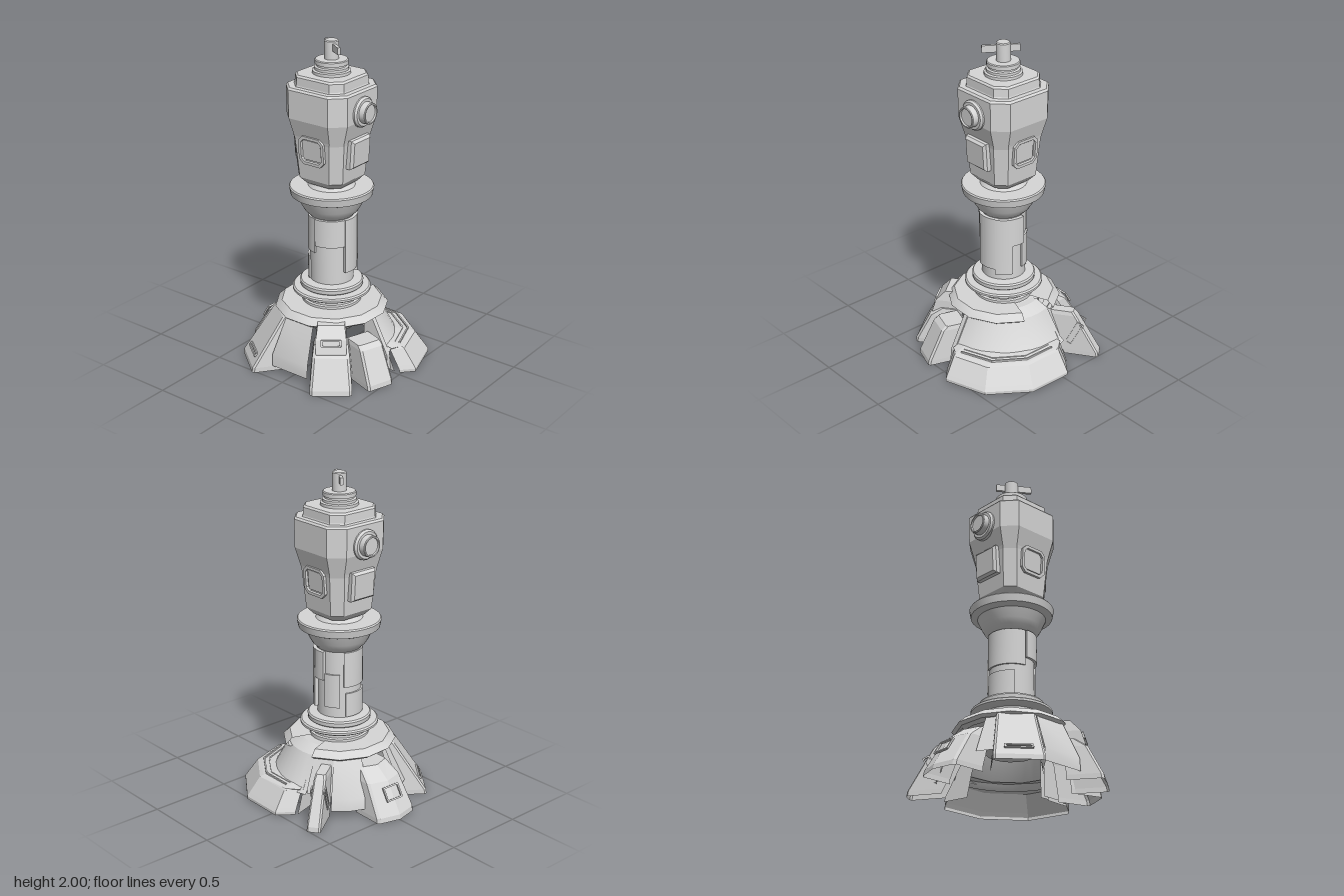
import * as THREE from 'three';
import { toCreasedNormals } from 'three/addons/utils/BufferGeometryUtils.js';

const rad = THREE.MathUtils.degToRad;

export function createModel() {
  const model = new THREE.Group();
  const grey = new THREE.MeshStandardMaterial({ color: 0xd6d6d6, side: THREE.DoubleSide });
  grey.name = 'plain grey';

  const add = (name, geo, parent = model) => {
    const mesh = new THREE.Mesh(geo, grey);
    mesh.name = name;
    parent.add(mesh);
    return mesh;
  };

  // group turned so that its local +z points outwards at the given angle
  const spoke = (name, deg) => {
    const g = new THREE.Group();
    g.name = name;
    g.rotation.y = rad(deg);
    model.add(g);
    return g;
  };

  // flat faced skin through rows of [x, y, z] points, listed bottom to top
  const loft = (rows, closed = false) => {
    const pos = [];
    for (let i = 0; i < rows.length - 1; i++) {
      const n = rows[i].length;
      for (let j = 0; j < (closed ? n : n - 1); j++) {
        const k = (j + 1) % n;
        const [a, b, c, d] = [rows[i][j], rows[i][k], rows[i + 1][k], rows[i + 1][j]];
        pos.push(...a, ...b, ...c, ...a, ...c, ...d);
      }
    }
    const geo = new THREE.BufferGeometry();
    geo.setAttribute('position', new THREE.Float32BufferAttribute(pos, 3));
    geo.computeVertexNormals();
    return geo;
  };

  const lathe = (pts, segs = 40, start = 0, sweep = 360) => toCreasedNormals(new THREE.LatheGeometry(
    pts.map(([r, y]) => new THREE.Vector2(r, y)), segs, rad(start), rad(sweep)), 0.5);

  // square column with cut corners; rows of [y, half width, corner cut]
  const cutSquare = rows => loft(rows.map(([y, h, c]) => {
    const m = h - c;
    return [[-m, y, h], [m, y, h], [h, y, m], [h, y, -m], [m, y, -h], [-m, y, -h], [-h, y, -m], [-h, y, m]];
  }), true);

  // rectangular rim with cut corners, lying in the xy plane
  const frame = (w, h, t, depth, cut = 0.004) => {
    const outline = (a, b, c) => [[-a + c, -b], [a - c, -b], [a, -b + c], [a, b - c], [a - c, b], [-a + c, b],
      [-a, b - c], [-a, -b + c]].map(p => new THREE.Vector2(...p));
    const shape = new THREE.Shape(outline(w / 2, h / 2, cut));
    shape.holes.push(new THREE.Path(outline(w / 2 - t, h / 2 - t, cut * 0.7)));
    return new THREE.ExtrudeGeometry(shape, { depth, bevelEnabled: false });
  };

  // plate bent around the column
  const bentPlate = (name, a0, a1, y0, y1, r, t) => {
    const geo = new THREE.BoxGeometry(1, y1 - y0, t, 12, 1, 1).toNonIndexed();
    const p = geo.attributes.position;
    for (let i = 0; i < p.count; i++) {
      const a = rad(a0 + (p.getX(i) + 0.5) * (a1 - a0)), d = r + p.getZ(i);
      p.setXYZ(i, Math.sin(a) * d, p.getY(i) + (y0 + y1) / 2, Math.cos(a) * d);
    }
    add(name, toCreasedNormals(geo, 0.5));
  };

  // --- top finial with its cross bar, longer on one side
  add('finial', lathe([[0.042, 1.87], [0.042, 1.995], [0.036, 2], [0, 2]], 24));
  const bar = add('finialBar', new THREE.BoxGeometry(0.018, 0.042, 0.22));
  bar.position.set(-0.007, 1.963, 0.012);
  bar.rotation.y = rad(-33);
  add('finialCollar', lathe([[0.112, 1.8], [0.112, 1.825], [0.1, 1.83], [0.1, 1.845],
    [0.088, 1.85], [0.088, 1.86], [0.097, 1.862], [0.097, 1.885], [0.092, 1.89], [0, 1.89]], 24));

  // --- head
  add('head', cutSquare([[1.15, 0, 0], [1.15, 0.13, 0.05], [1.19, 0.163, 0.055], [1.43, 0.184, 0.06],
    [1.45, 0.188, 0.06], [1.56, 0.22, 0.08], [1.73, 0.222, 0.08], [1.742, 0.212, 0.075], [1.742, 0, 0]]));
  add('headCap', cutSquare([[1.735, 0.182, 0.06], [1.75, 0.177, 0.06], [1.797, 0.175, 0.06],
    [1.808, 0.165, 0.055], [1.808, 0, 0]]));

  for (const deg of [0, 180]) {
    const side = spoke('headFace', deg);
    const port = add('porthole', lathe([[0.09, 0], [0.09, 0.02], [0.08, 0.032], [0.064, 0.032], [0.063, 0.068],
      [0.059, 0.072], [0.052, 0.072], [0.05, 0.062], [0, 0.062]], 28), side);
    port.rotation.x = Math.PI / 2;
    port.position.set(0, 1.615, 0.21);
    const panel = add('squarePanel', loft([[0.088, 0], [0.088, 0.03], [0.074, 0.045], [0, 0.045]].map(([h, z]) =>
      [[-h, -h, z], [h, -h, z], [h, h, z], [-h, h, z]]), true), side);
    panel.position.set(0, 1.37, 0.174);
    panel.rotation.x = 0.06;
  }
  for (const deg of [90, -90]) {
    const side = spoke('headSide', deg);
    const rim = add('hatchRim', frame(0.18, 0.175, 0.018, 0.028, 0.03), side);
    rim.position.set(0, 1.38, 0.168);
    const hatch = add('hatch', new THREE.BoxGeometry(0.125, 0.12, 0.02), side);
    hatch.position.set(0, 1.38, 0.175);
    rim.rotation.x = hatch.rotation.x = 0.08;
  }

  // --- neck and collar
  add('neckCollar', lathe([[0.13, 0.94], [0.14, 0.95], [0.16, 0.97], [0.178, 1.0], [0.203, 1.055], [0.225, 1.062],
    [0.243, 1.07], [0.252, 1.115], [0.246, 1.123], [0.22, 1.123], [0.14, 1.123], [0.115, 1.155]], 40));

  // --- column with stepped sleeve plates
  add('column', lathe([[0.132, 0.36], [0.132, 0.96]]));
  bentPlate('sleeveUpper', -95, -20, 0.77, 0.94, 0.137, 0.022);
  bentPlate('sleeveFront', -20, 30, 0.6, 0.94, 0.141, 0.022);
  bentPlate('sleeveRight', 30, 70, 0.57, 0.94, 0.146, 0.022);
  bentPlate('sleeveStep', 70, 100, 0.76, 0.94, 0.144, 0.022);
  bentPlate('sleeveStrip', 100, 140, 0.59, 0.8, 0.134, 0.018);
  bentPlate('sleeveBack', 150, 262, 0.72, 0.94, 0.132, 0.02);
  bentPlate('sleeveBackLow', 155, 235, 0.53, 0.68, 0.132, 0.02);

  // --- stacked rings under the column
  add('baseRings', lathe([[0.18, 0.36], [0.18, 0.4], [0.168, 0.405], [0.168, 0.42], [0.18, 0.425], [0.18, 0.44],
    [0.225, 0.447], [0.237, 0.455], [0.237, 0.468], [0.228, 0.476], [0.18, 0.478], [0.19, 0.486],
    [0.192, 0.51], [0.185, 0.52], [0.13, 0.525]]));

  // --- roof plate of the base, open on one side, over the hidden core
  add('baseRoof', lathe([[0.26, 0.33], [0.325, 0.33], [0.345, 0.345], [0.305, 0.383], [0.16, 0.385]], 11, 110, 320));
  add('baseCore', lathe([[0, 0.22], [0.15, 0.22], [0.21, 0.29], [0.23, 0.365], [0.16, 0.383]], 20));
  add('baseUnderside', lathe([[0.2, 0.32], [0.29, 0.32]], 20));

  // --- wide sloping wing: smooth cone and faceted skirt
  add('wingCone', lathe([[0.42, 0.13], [0.395, 0.155], [0.3, 0.335], [0.23, 0.375], [0.16, 0.375]], 12, 2, 108));
  const skirtPlan = [[4, 0.85], [11, 0.985], [38, 1.04], [66, 1.02], [94, 0.945], [104, 0.8]];
  const ringRow = (plan, r, y, even = 1) => plan.map(([a, s]) => {
    const q = r * (1 - (1 - s) * even);
    return [Math.sin(rad(a)) * q, y, Math.cos(rad(a)) * q];
  });
  add('wingSkirt', loft([[0.575, 0.004], [0.575, 0.022], [0.56, 0.045], [0.495, 0.142], [0.475, 0.152],
    [0.37, 0.17]].map(([r, y], i) => ringRow(skirtPlan, r, y, i < 4 ? 1 : 0.6))));
  // groove rim that follows the skirt
  const groovePlan = [[14, 0.985], [40, 1.04], [66, 1.02], [91, 0.945]];
  for (const [name, r] of [['grooveOuterRim', 0.457], ['grooveInnerRim', 0.425]]) {
    add(name, loft([[r, 0.15], [r, 0.165], [r - 0.009, 0.165], [r - 0.009, 0.15]].map(p => ringRow(groovePlan, ...p))));
  }
  for (const deg of [3, 106]) {
    add('wingEndWall', loft([[[0, 0.01, 0.3], [0, 0.01, 0.46]], [[0, 0.15, 0.27], [0, 0.15, 0.4]],
      [[0, 0.34, 0.2], [0, 0.34, 0.29]]]), spoke('wingEnd', deg));
  }

  // --- hollow legs; rows of [y, inner radius, outer radius, half width], open below and inside
  const leg = (name, deg, rows, cut, slot, peak = 0) => {
    const g = spoke(name, deg);
    const pts = rows.map(([y, a, b, w]) => [[-w, y, a], [-w, y, b - cut], [-w + cut, y, b], [0, y, b + peak],
      [w - cut, y, b], [w, y, b - cut], [w, y, a]]);
    const [y, a, , w] = rows.at(-1);
    pts.push([-w, -w, -w + cut, 0, w - cut, w, w].map(x => [x, y, a]));
    add(name + 'Shell', loft(pts), g);
    if (slot) {
      // slot rim resting on the slope between two rows
      const [lo, hi] = [rows[slot.row], rows[slot.row + 1]];
      const rim = add(name + 'Slot', frame(slot.w, slot.h, 0.01, 0.01), g);
      rim.position.set(0, lo[0] + (hi[0] - lo[0]) * slot.t, lo[2] + (hi[2] - lo[2]) * slot.t + peak);
      rim.rotation.x = -Math.atan2(lo[2] - hi[2], hi[0] - lo[0]);
    }
    return g;
  };

  leg('backLeg', 178.5, [[0, 0.33, 0.53, 0.142], [0.03, 0.33, 0.525, 0.142], [0.21, 0.27, 0.415, 0.125],
    [0.28, 0.22, 0.32, 0.1]], 0.015, { row: 1, w: 0.12, h: 0.09, t: 0.65 }, 0.032);
  leg('backRightLeg', -128, [[0, 0.33, 0.53, 0.14], [0.03, 0.33, 0.525, 0.14], [0.33, 0.24, 0.33, 0.11],
    [0.36, 0.2, 0.3, 0.105]], 0.012, { row: 1, w: 0.16, h: 0.03, t: 0.18 });
  leg('frontLeg', -19, [[0, 0.33, 0.53, 0.088], [0.03, 0.33, 0.525, 0.088], [0.22, 0.3, 0.435, 0.08],
    [0.245, 0.28, 0.405, 0.075]], 0.012);
  const sideLeg = leg('frontRightLeg', -53, [[0, 0.33, 0.54, 0.125], [0.03, 0.33, 0.535, 0.125],
    [0.2, 0.3, 0.45, 0.11], [0.25, 0.28, 0.38, 0.1]], 0.015);

  // raised housing on the front right leg
  add('legHousing', loft([[0.18, 0.43, 0.07], [0.22, 0.435, 0.09], [0.3, 0.41, 0.09], [0.365, 0.35, 0.08],
    [0.37, 0.25, 0.08]].map(([y, z, w]) => [[-w, y, 0.24], [-w, y, z], [w, y, z], [w, y, 0.24]])), sideLeg);
  const housingSlot = add('housingSlot', frame(0.12, 0.045, 0.01, 0.012), sideLeg);
  housingSlot.position.set(0, 0.28, 0.414);
  housingSlot.rotation.x = -0.3;

  // narrow radial fin with a slot on each cheek
  const fin = leg('fin', 124, [[0, 0.4, 0.61, 0.042], [0.03, 0.385, 0.605, 0.042], [0.27, 0.27, 0.465, 0.036],
    [0.295, 0.26, 0.445, 0.03]], 0.01);
  for (const s of [-1, 1]) {
    const cheek = add('finSlot', frame(0.045, 0.17, 0.009, 0.008), fin);
    cheek.position.set(s * 0.037, 0.15, 0.46);
    cheek.rotation.set(0, s * Math.PI / 2, s * 0.45, 'YXZ');
  }

  // --- lower cone panels between the legs, and the slim front post
  add('sidePanel', lathe([[0.435, 0.04], [0.43, 0.12], [0.33, 0.335]], 1, -108, 36));
  add('backCone', lathe([[0.43, 0.05], [0.42, 0.12], [0.3, 0.335]], 2, 132, 32));
  add('backRightCone', lathe([[0.42, 0.1], [0.31, 0.335]], 1, 200, 20));
  add('lowerCone', lathe([[0.38, 0.12], [0.3, 0.335]], 1, 108, 24));
  add('frontPost', loft([[0.02, 0.43], [0.12, 0.42], [0.33, 0.31]].map(([y, z]) =>
    [[-0.005, y, 0.25], [-0.005, y, z], [0.025, y, z], [0.025, y, 0.25]])));

  model.position.set(-0.02, 0, 0.003);
  const root = new THREE.Group();
  root.name = 'beaconTower';
  root.add(model);
  return root;
}
